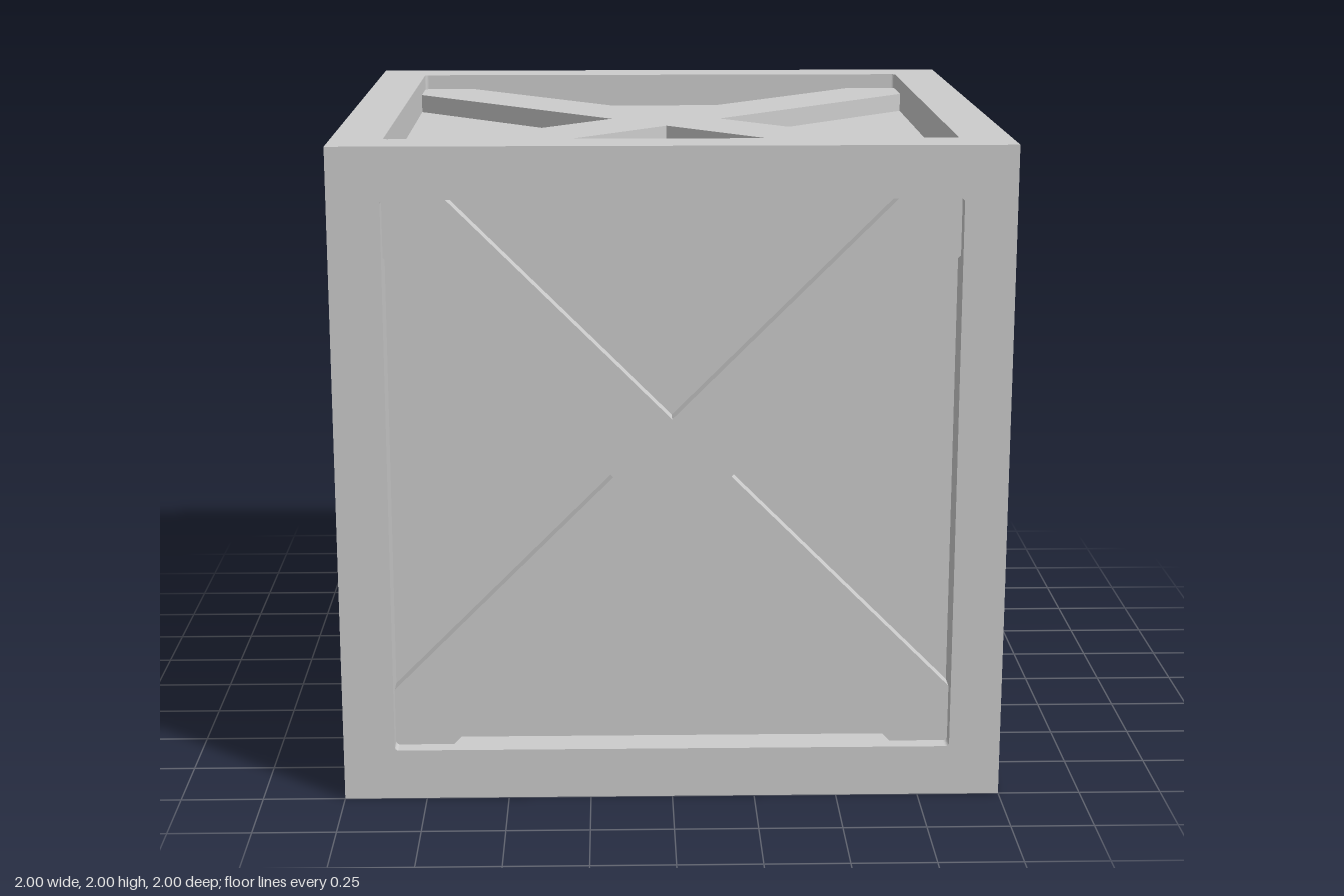
import * as THREE from 'three';

const HALF = 1;        // half the crate's side
const PANEL = 0.89;    // panel plane, measured from the centre
const BRACE = 0.95;    // outer plane of the cross braces
const OPEN = 0.845;    // half the opening in each frame
const NOTCH = 0.177;   // distance from the centre to the inner corners of the cross

// Square frame with a slightly rounded opening; its outer sides are mitred at 45 degrees
function frameGeometry() {
  const shape = new THREE.Shape([
    new THREE.Vector2(-HALF, -HALF), new THREE.Vector2(HALF, -HALF),
    new THREE.Vector2(HALF, HALF), new THREE.Vector2(-HALF, HALF),
  ]);
  const r = 0.012;
  const hole = new THREE.Path();
  [[1, 1], [-1, 1], [-1, -1], [1, -1]].forEach(([sx, sy], i) => {
    const start = i * Math.PI / 2;
    hole.absarc(sx * (OPEN - r), sy * (OPEN - r), r, start, start + Math.PI / 2, false);
  });
  shape.holes.push(hole);
  const depth = HALF - PANEL;
  const geo = new THREE.ExtrudeGeometry(shape, { depth, bevelEnabled: false, curveSegments: 3 });
  geo.translate(0, 0, PANEL);
  // Pull the back outline inwards so that neighbouring frames meet in a mitre
  const p = geo.attributes.position;
  for (let i = 0; i < p.count; i++) {
    const outer = Math.abs(p.getX(i)) > 0.99;
    if (outer && p.getZ(i) < PANEL + 0.001) {
      p.setXY(i, p.getX(i) * PANEL, p.getY(i) * PANEL);
    }
  }
  geo.computeVertexNormals();
  return geo;
}

// One-piece diagonal cross, cut square where it meets the frame
function crossGeometry() {
  const arm = [[NOTCH, 0], [OPEN, OPEN - NOTCH], [OPEN, OPEN], [OPEN - NOTCH, OPEN]];
  const points = [];
  for (let i = 0; i < 4; i++) {
    for (const [x, y] of arm) {
      points.push(new THREE.Vector2(x, y).rotateAround(new THREE.Vector2(), i * Math.PI / 2));
    }
  }
  const geo = new THREE.ExtrudeGeometry(new THREE.Shape(points), { depth: BRACE - PANEL, bevelEnabled: false });
  geo.translate(0, 0, PANEL);
  return geo;
}

export function createModel() {
  const crate = new THREE.Group();
  crate.name = 'crate';
  const material = new THREE.MeshStandardMaterial({ color: 0xcccccc, flatShading: true });
  const add = (parent, name, geo) => {
    const mesh = new THREE.Mesh(geo, material);
    mesh.name = name;
    parent.add(mesh);
  };

  const body = new THREE.Group();
  body.name = 'body';
  body.position.y = HALF;
  crate.add(body);

  // Recessed panels
  add(body, 'panels', new THREE.BoxGeometry(2 * PANEL, 2 * PANEL, 2 * PANEL));

  // Frame and cross brace on each of the six sides
  const frame = frameGeometry();
  const cross = crossGeometry();
  const q = Math.PI / 2;
  const sides = [
    ['front', 0, 0], ['left', 0, q], ['back', 0, 2 * q],
    ['right', 0, -q], ['top', -q, 0], ['bottom', q, 0],
  ];
  for (const [name, rx, ry] of sides) {
    const side = new THREE.Group();
    side.name = name + 'Side';
    side.rotation.set(rx, ry, 0);
    add(side, name + 'Frame', frame);
    add(side, name + 'CrossBrace', cross);
    body.add(side);
  }
  return crate;
}
